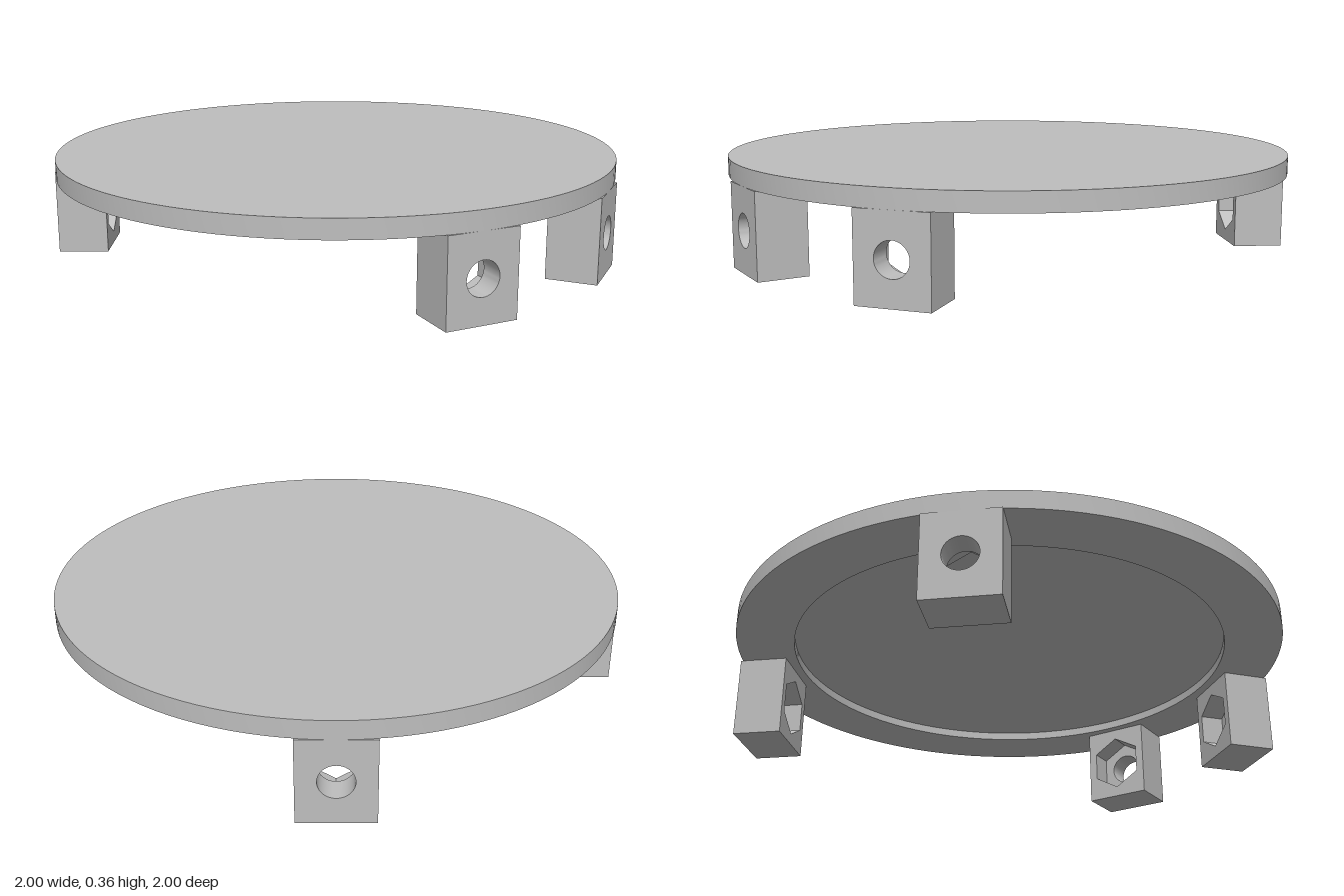
import * as THREE from 'three';
import { mergeGeometries, toCreasedNormals } from 'three/addons/utils/BufferGeometryUtils.js';

const UNDERSIDE = 0.295, TOP = 0.36;
const HALF_WIDTH = 0.125, HOLE_Y = 0.148;
const OUTER = 1, SEAT = 0.9125, INNER = 0.825; // distances of the lug faces from the centre

// Counter-clockwise ring of points around the bolt axis, first point at the top
function ring(radius, sides) {
  return Array.from({ length: sides }, (_, i) => {
    const a = Math.PI / 2 + (i / sides) * Math.PI * 2;
    return new THREE.Vector2(Math.cos(a) * radius, HOLE_Y + Math.sin(a) * radius);
  });
}

// Flat face with a hole, facing +z or -z
function plate(outline, hole, z, facing) {
  const shape = new THREE.Shape(outline);
  shape.holes.push(new THREE.Path(hole));
  const geo = new THREE.ShapeGeometry(shape).toNonIndexed();
  if (facing < 0) geo.rotateY(Math.PI);
  geo.translate(0, 0, z);
  geo.deleteAttribute('uv');
  geo.deleteAttribute('normal');
  return geo;
}

// Wall swept along z; faces outward for counter-clockwise points
function wall(points, z0, z1) {
  const pos = [];
  points.forEach((a, i) => {
    const b = points[(i + 1) % points.length];
    pos.push(a.x, a.y, z0, b.x, b.y, z0, b.x, b.y, z1);
    pos.push(a.x, a.y, z0, b.x, b.y, z1, a.x, a.y, z1);
  });
  const geo = new THREE.BufferGeometry();
  geo.setAttribute('position', new THREE.Float32BufferAttribute(pos, 3));
  return geo;
}

// Block with a round bolt hole outside and a hexagonal nut pocket inside
function lugGeometry() {
  const block = [[-1, 0], [1, 0], [1, UNDERSIDE], [-1, UNDERSIDE]]
    .map(([x, y]) => new THREE.Vector2(x * HALF_WIDTH, y));
  const bore = ring(0.058, 40);
  const hex = ring(0.108, 6);
  const geo = mergeGeometries([
    wall(block, INNER, OUTER),
    plate(block, bore, OUTER, 1),
    plate(block, hex, INNER, -1),
    plate(hex, bore, SEAT, -1),
    wall([...bore].reverse(), SEAT, OUTER),
    wall([...hex].reverse(), INNER, SEAT),
  ]);
  geo.computeVertexNormals();
  return toCreasedNormals(geo, Math.PI / 6);
}

export function createModel() {
  const model = new THREE.Group();
  model.name = 'roundCover';
  const grey = new THREE.MeshStandardMaterial({ color: 0xbebebe });
  grey.name = 'light grey';

  // Round lid with a shallow recess underneath
  const profile = [[0, 0.325], [0.793, 0.325], [0.793, UNDERSIDE], [1, UNDERSIDE], [1, TOP], [0, TOP]]
    .map(([r, y]) => new THREE.Vector2(r, y));
  const lid = new THREE.Mesh(toCreasedNormals(new THREE.LatheGeometry(profile, 120), Math.PI / 6), grey);
  lid.name = 'lid';
  model.add(lid);

  // Four mounting lugs: two at the front, two at the back
  const lug = lugGeometry();
  const lugs = { frontLeftLug: 20, frontRightLug: -20, backLeftLug: 135, backRightLug: -135 };
  for (const [name, degrees] of Object.entries(lugs)) {
    const mesh = new THREE.Mesh(lug, grey);
    mesh.name = name;
    mesh.rotation.y = THREE.MathUtils.degToRad(degrees);
    model.add(mesh);
  }
  return model;
}
